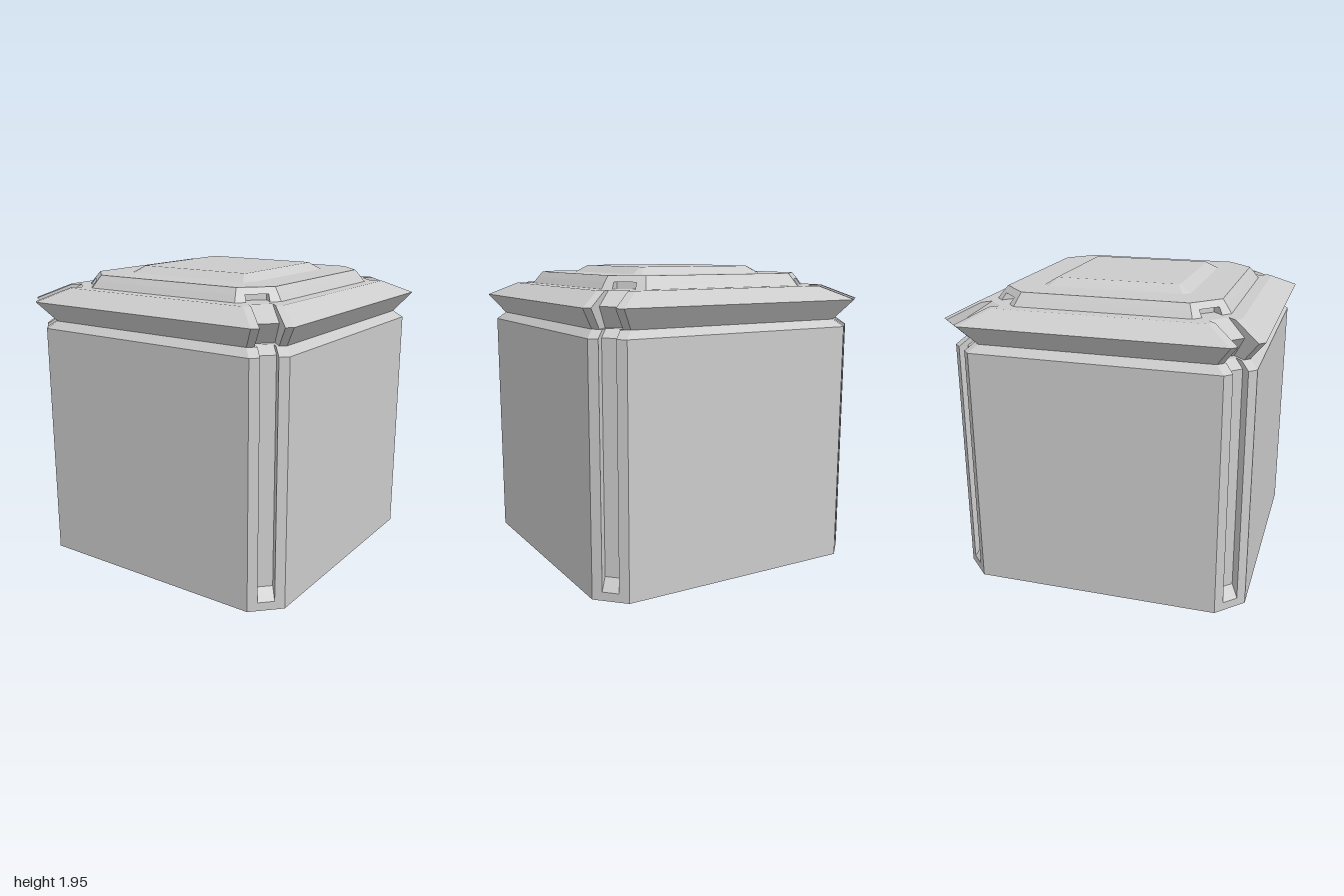
import * as THREE from 'three';

// Square ring with chamfered corners; each chamfer has a slot of half-width w/√2 and depth d.
// h = half width, c = where the straight side ends.
function ring({ h, c, w = 0.075, d = 0 }) {
  const s = (h + c) / 2, k = w / 2;
  const corner = [
    [h, c], [s + k, s - k], [s + k - d, s - k - d],
    [s - k - d, s + k - d], [s - k, s + k], [c, h],
  ];
  const points = [];
  for (let q = 0; q < 4; q++) {
    for (const [x, z] of corner) {
      points.push([[x, z], [-z, x], [-x, -z], [z, -x]][q]);
    }
  }
  return points;
}

// Closed solid through a stack of rings
function loft(name, levels, material) {
  const rings = levels.map(ring);
  const pos = [];
  const put = (r, i) => pos.push(rings[r][i][0], levels[r].y, rings[r][i][1]);
  const n = rings[0].length;
  for (let r = 0; r < rings.length - 1; r++) {
    for (let i = 0; i < n; i++) {
      const j = (i + 1) % n;
      put(r, i); put(r + 1, i); put(r + 1, j);
      put(r, i); put(r + 1, j); put(r, j);
    }
  }
  for (const r of [0, rings.length - 1]) {
    const outline = rings[r].map(([x, z]) => new THREE.Vector2(x, z));
    for (const [a, b, c] of THREE.ShapeUtils.triangulateShape(outline, [])) {
      for (const i of r === 0 ? [a, b, c] : [a, c, b]) put(r, i);
    }
  }
  const geometry = new THREE.BufferGeometry();
  geometry.setAttribute('position', new THREE.Float32BufferAttribute(pos, 3));
  geometry.computeVertexNormals();
  const mesh = new THREE.Mesh(geometry, material);
  mesh.name = name;
  return mesh;
}

export function createModel() {
  const group = new THREE.Group();
  group.name = 'crate';
  const grey = new THREE.MeshStandardMaterial({ color: 0xcccccc, flatShading: true });

  // Body with a long groove down each corner and a sloping shoulder
  group.add(loft('body', [
    { y: 0, h: 0.955, c: 0.79 },
    { y: 0.055, h: 0.955, c: 0.79 },
    { y: 0.13, h: 0.955, c: 0.79, d: 0.04 },
    { y: 1.56, h: 0.955, c: 0.79, d: 0.04 },
    { y: 1.607, h: 0.905, c: 0.74, d: 0.04 },
  ], grey));

  // Wedge-shaped rim, slotted at the corners
  group.add(loft('rim', [
    { y: 1.607, h: 0.905, c: 0.74, w: 0.1, d: 0.07 },
    { y: 1.735, h: 1.0, c: 0.83, w: 0.1, d: 0.095 },
    { y: 1.82, h: 0.835, c: 0.67, w: 0.1, d: 0.05 },
  ], grey));

  // Bevelled lid with a small recess in each corner
  group.add(loft('lid', [
    { y: 1.82, h: 0.755, c: 0.56, w: 0.1, d: 0.06 },
    { y: 1.862, h: 0.725, c: 0.545, w: 0.1, d: 0.04 },
    { y: 1.862, h: 0.725, c: 0.545, w: 0.1 },
    { y: 1.9, h: 0.695, c: 0.53, w: 0.1 },
  ], grey));

  // Raised plate on the lid
  group.add(loft('lidPlate', [
    { y: 1.9, h: 0.48, c: 0.435, w: 0.02 },
    { y: 1.945, h: 0.405, c: 0.395, w: 0.005 },
  ], grey));

  return group;
}
